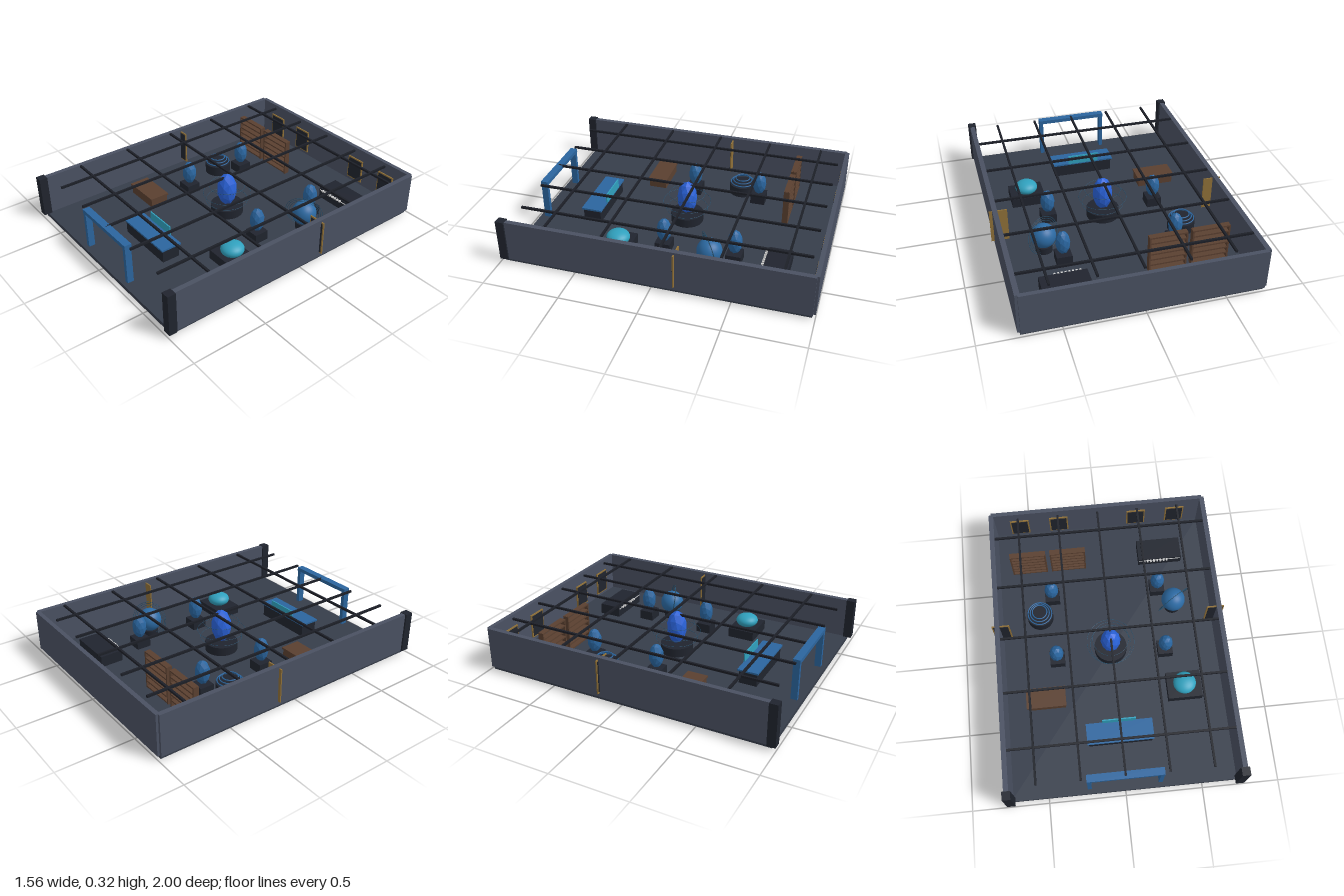
import * as THREE from 'three';

const mat = (color, flat = false) => new THREE.MeshStandardMaterial({ color, flatShading: flat });
const M = {
  floor: mat(0x363d4a), wall: mat(0x4a5162), dark: mat(0x20242e), beam: mat(0x1c1f27),
  blue: mat(0x2b659e), crystal: mat(0x2a66a0, true), core: mat(0x2a62d8, true),
  planet: mat(0x2c6aa3), teal: mat(0x30a0bd), ring: mat(0x24506e),
  wood: mat(0x5a4030), gold: mat(0x8f7038), white: mat(0xdddddd),
};
const FLOOR = 0.025;

export function createModel() {
  const root = new THREE.Group();

  const add = (name, geo, material, x, y, z, parent = root) => {
    const m = new THREE.Mesh(geo, material);
    m.name = name;
    m.position.set(x, y, z);
    parent.add(m);
    return m;
  };
  // box given by its extents on each axis
  const box = (name, material, x0, x1, y0, y1, z0, z1, parent = root) =>
    add(name, new THREE.BoxGeometry(x1 - x0, y1 - y0, z1 - z0), material,
      (x0 + x1) / 2, (y0 + y1) / 2, (z0 + z1) / 2, parent);
  const drum = (name, material, r, x, y0, y1, z) =>
    add(name, new THREE.CylinderGeometry(r, r, y1 - y0, 32), material, x, (y0 + y1) / 2, z);
  const flatRing = (name, material, r, tube, x, y, z) => {
    const m = add(name, new THREE.TorusGeometry(r, tube, 6, 48), material, x, y, z);
    m.rotation.x = Math.PI / 2;
    return m;
  };
  const gem = (name, material, r, h, x, y, z) =>
    add(name, new THREE.IcosahedronGeometry(1, 1), material, x, y, z).scale.set(r, h, r);

  // Room shell, open at the front
  box('floor', M.floor, -0.745, 0.745, 0, FLOOR, -0.98, 0.97);
  box('backWall', M.wall, -0.745, 0.745, FLOOR, 0.3, -1, -0.972);
  for (const s of [-1, 1]) {
    const side = new THREE.Group();
    side.name = s > 0 ? 'leftSide' : 'rightSide';
    root.add(side);
    const c = s * 0.745;
    box('sideWall', M.wall, c - 0.016, c + 0.016, FLOOR, 0.3, -0.985, 0.965, side);
    box('frontPost', M.dark, c - 0.027, c + 0.027, FLOOR, 0.303, 0.945, 1, side);
    // framed panel set across the side wall
    const p = s * 0.723;
    box('crossFrame', M.gold, p - 0.058, p + 0.058, 0.055, 0.285, -0.154, -0.146, side);
    box('crossPicture', M.dark, p - 0.049, p + 0.049, 0.064, 0.276, -0.147, -0.143, side);
  }

  // Ceiling beam grid
  for (let i = -2; i <= 2; i++) {
    const x = i * 0.28, z = -0.055 + i * 0.372;
    box('longBeam', M.beam, x - 0.007, x + 0.007, 0.288, 0.302, -0.94, 0.925);
    box('crossBeam', M.beam, -0.728, 0.728, 0.288, 0.302, z - 0.007, z + 0.007);
  }

  // Framed pictures on the back wall
  for (const x of [-0.557, -0.278, 0.278, 0.557]) {
    box('pictureFrame', M.gold, x - 0.066, x + 0.066, 0.05, 0.218, -0.973, -0.963);
    box('picture', M.dark, x - 0.057, x + 0.057, 0.059, 0.209, -0.964, -0.96);
  }

  // Entrance arch
  for (const x of [-0.232, 0.232])
    box('archPost', M.blue, x - 0.013, x + 0.013, FLOOR, 0.28, 0.897, 0.94);
  box('archLintel', M.blue, -0.246, 0.246, 0.276, 0.302, 0.894, 0.942);

  // Reception desk
  box('deskBase', M.dark, -0.21, 0.21, FLOOR, 0.113, 0.54, 0.66);
  box('deskTop', M.blue, -0.22, 0.22, 0.113, 0.125, 0.53, 0.67);
  box('deskScreen', M.teal, -0.11, 0.11, 0.122, 0.185, 0.528, 0.536);

  // Central crystal with floating rings
  drum('centrePedestal', M.dark, 0.11, 0, FLOOR, 0.085, -0.01);
  gem('centreCrystal', M.core, 0.068, 0.119, 0, 0.2, -0.01);
  [[0.12, 0.23], [0.14, 0.12], [0.16, 0.173]].forEach(([r, y]) =>
    flatRing('haloRing', M.ring, r, 0.0012, 0, y, -0.01));

  // Four smaller crystals on plinths
  for (const x of [-0.37, 0.37]) for (const z of [-0.43, 0.035]) {
    box('plinth', M.dark, x - 0.05, x + 0.05, FLOOR, 0.09, z - 0.05, z + 0.05);
    gem('crystal', M.crystal, 0.048, 0.084, x, 0.17, z);
  }

  // Ringed planet
  drum('planetPedestal', M.dark, 0.055, 0.465, FLOOR, 0.07, -0.29);
  add('planet', new THREE.SphereGeometry(0.081, 32, 20), M.planet, 0.465, 0.14, -0.29);
  [0.1, 0.113, 0.125].forEach(r => {
    const ring = add('planetRing', new THREE.TorusGeometry(r, 0.0015, 6, 48), M.ring, 0.465, 0.14, -0.29);
    ring.rotation.set(0.2, 0.57, 0, 'YXZ');
  });

  // Coil drum
  drum('coilDrum', M.dark, 0.09, -0.465, FLOOR, 0.095, -0.29);
  [0.082, 0.066, 0.05].forEach((r, i) =>
    flatRing('coilRing', M.blue, r, 0.004, -0.465, 0.108 + i * 0.014, -0.29));

  // Two open bookshelves
  for (const x of [-0.512, -0.236]) {
    const shelf = new THREE.Group();
    shelf.name = 'bookshelf';
    root.add(shelf);
    for (const s of [-1, 1]) {
      const e = x + s * 0.118;
      box('shelfSide', M.wood, e - 0.005, e + 0.005, FLOOR, 0.285, -0.68, -0.642, shelf);
    }
    for (let i = 0; i < 7; i++) {
      const y = 0.035 + i * 0.041;
      box('shelfBoard', M.wood, x - 0.118, x + 0.118, y - 0.005, y + 0.005, -0.68, -0.642, shelf);
    }
  }

  // Console with a row of keys
  box('console', M.dark, 0.265, 0.57, FLOOR, 0.1, -0.787, -0.632);
  box('keyLedge', M.white, 0.27, 0.565, 0.083, 0.087, -0.634, -0.628);
  for (let i = 0; i < 8; i++) {
    const x = 0.3 + i * 0.023;
    box('key', M.white, x, x + 0.012, 0.086, 0.096, -0.632, -0.615);
  }

  // Wooden chest
  box('chestBody', M.wood, -0.592, -0.342, FLOOR, 0.085, 0.252, 0.376);
  box('chestLid', M.wood, -0.6, -0.335, 0.085, 0.097, 0.245, 0.383);

  // Dome display
  box('domePlinth', M.dark, 0.35, 0.58, FLOOR, 0.09, 0.222, 0.405);
  add('dome', new THREE.SphereGeometry(0.076, 32, 16), M.teal, 0.465, 0.125, 0.313).scale.y = 0.6;

  return root;
}
